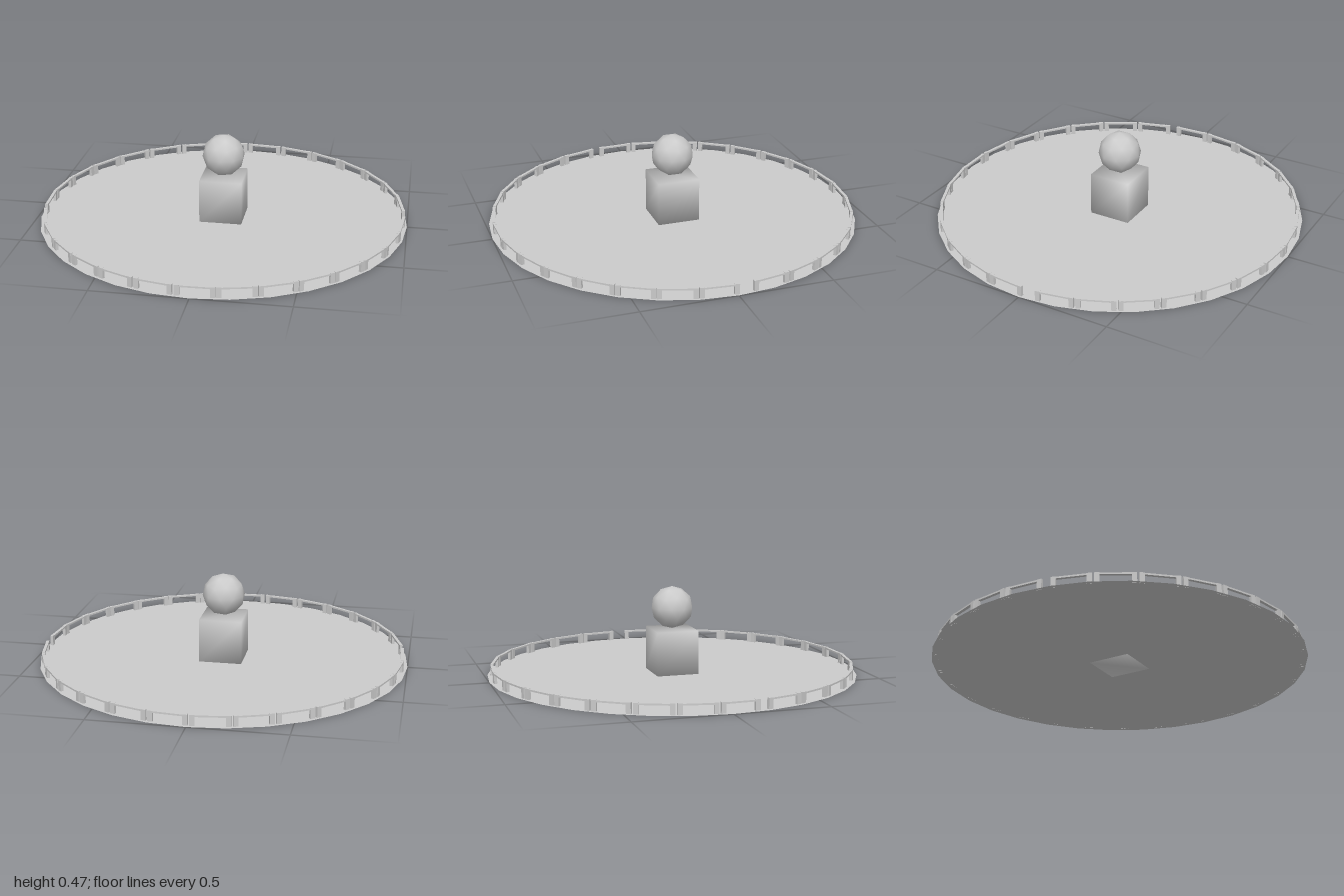
import * as THREE from 'three';
import { mergeVertices } from 'three/addons/utils/BufferGeometryUtils.js';

const grey = new THREE.MeshStandardMaterial({ color: 0xcccccc });
const thin = new THREE.MeshStandardMaterial({ color: 0xcccccc, side: THREE.DoubleSide });

function part(name, geometry, x = 0, y = 0, z = 0, material = grey) {
  const mesh = new THREE.Mesh(geometry, material);
  mesh.name = name;
  mesh.position.set(x, y, z);
  return mesh;
}

// Cube whose corners share one normal, so its shading runs around the edges
function smoothCube(w, h, d) {
  const g = new THREE.BoxGeometry(w, h, d);
  g.deleteAttribute('normal');
  g.deleteAttribute('uv');
  const merged = mergeVertices(g);
  merged.computeVertexNormals();
  return merged;
}

// One fence panel: a thin rail with a post at each end
const LENGTH = 0.2, POST = 0.025, DEPTH = 0.016, TOP = 0.057;
const railGeometry = new THREE.BoxGeometry(LENGTH, 0.009, DEPTH);
const postGeometry = new THREE.BoxGeometry(POST, TOP, DEPTH);

function fencePanel() {
  const panel = new THREE.Group();
  panel.name = 'fencePanel';
  panel.add(part('rail', railGeometry, 0, 0.051, 0));
  for (const s of [-1, 1]) {
    panel.add(part('post', postGeometry, s * (LENGTH - POST) / 2, TOP / 2, 0));
  }
  return panel;
}

export function createModel() {
  const model = new THREE.Group();
  model.name = 'fencedStatue';

  // Flat round ground
  const disc = new THREE.CircleGeometry(1, 32).rotateX(-Math.PI / 2);
  model.add(part('groundDisc', disc, 0, 0.001, 0, thin));

  // Pedestal
  model.add(part('pedestal', smoothCube(0.23, 0.238, 0.23), 0, 0.119, 0));

  // Ball on top: subdivided icosahedron with a corner at each pole
  const ball = new THREE.IcosahedronGeometry(0.115, 1)
    .rotateX(-Math.atan((1 + Math.sqrt(5)) / 2))
    .rotateY(Math.PI / 2);
  model.add(part('ball', ball, 0, 0.355, 0));

  // Fence in three runs with wider gaps between them: start, step (degrees), panels
  const fence = new THREE.Group();
  fence.name = 'fence';
  fence.position.set(0.003, 0, 0);
  const runs = [[-72.9, 12.33, 6], [1.1, 11.94, 8], [100.9, 12.27, 15]];
  for (const [start, step, count] of runs) {
    for (let i = 0; i < count; i++) {
      const a = THREE.MathUtils.degToRad(start + step * i);
      const panel = fencePanel();
      panel.position.set(0.973 * Math.sin(a), 0, 0.97 * Math.cos(a));
      panel.rotation.y = a;
      fence.add(panel);
    }
  }
  model.add(fence);
  return model;
}
